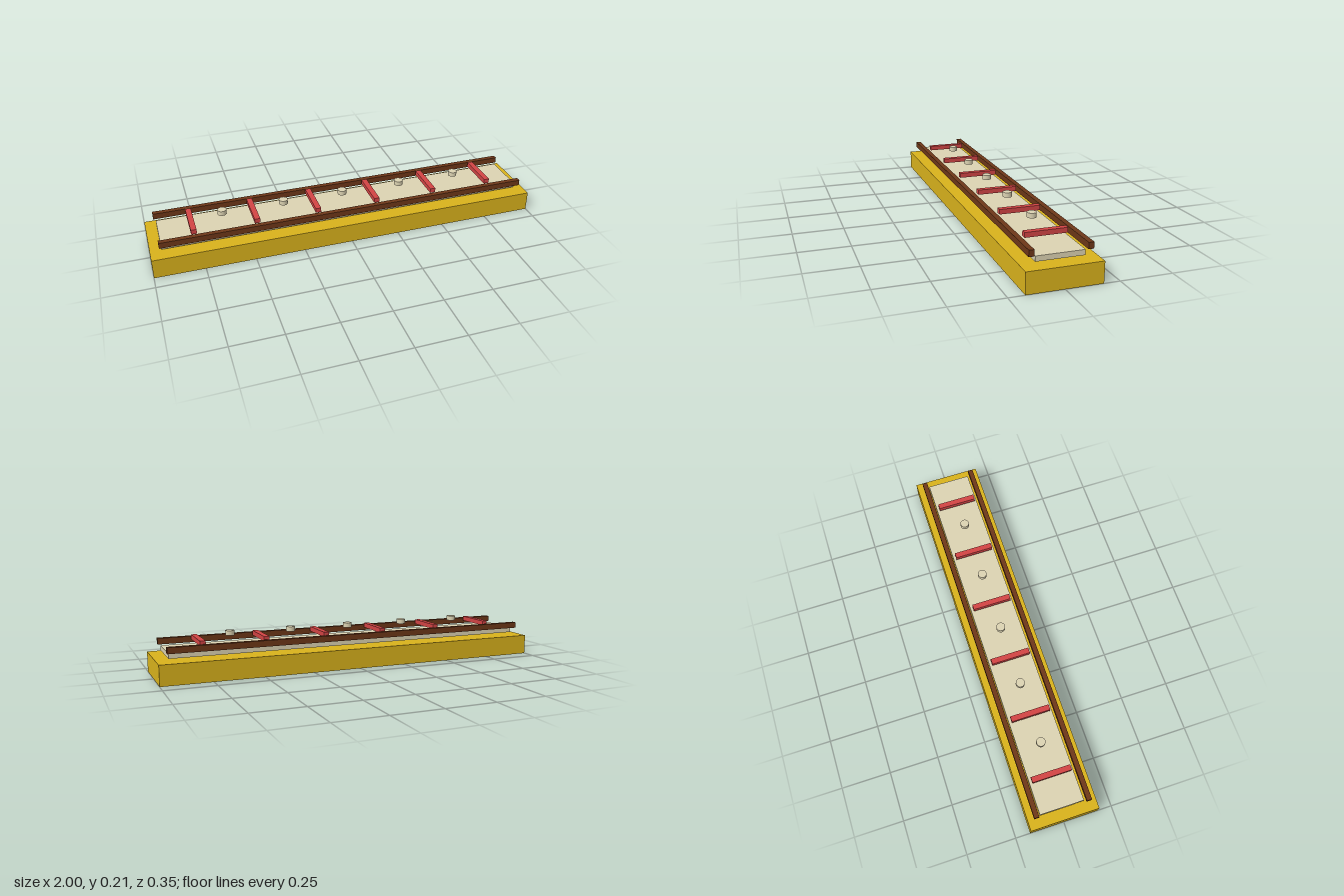
import * as THREE from 'three';

const material = (color) => new THREE.MeshStandardMaterial({ color });

export function createModel() {
  const model = new THREE.Group();
  const gold = material(0xd9b21c);
  const cream = material(0xdcd3b2);
  const brown = material(0x6e3718);
  const red = material(0xd24444);

  const add = (name, geometry, mat, x, y, z) => {
    const mesh = new THREE.Mesh(geometry, mat);
    mesh.name = name;
    mesh.position.set(x, y, z);
    model.add(mesh);
  };

  // Solid base and the thin panel floating just above it
  add('base', new THREE.BoxGeometry(2, 0.101, 0.35), gold, 0, 0.0505, 0);
  add('panel', new THREE.BoxGeometry(1.888, 0.025, 0.224), cream, 0, 0.126, 0);

  // Long rails along both sides
  const rail = new THREE.BoxGeometry(1.91, 0.03, 0.025);
  add('frontRail', rail, brown, 0, 0.157, 0.1325);
  add('backRail', rail, brown, 0, 0.157, -0.1325);

  // Cross bars, with a round stud midway between each pair
  const spacing = 0.3125;
  const bar = new THREE.BoxGeometry(0.028, 0.024, 0.2);
  const stud = new THREE.CylinderGeometry(0.0225, 0.0225, 0.024, 24);
  for (let i = 0; i < 6; i++) {
    add(`crossBar${i + 1}`, bar, red, (i - 2.5) * spacing, 0.1725, 0);
    if (i < 5) add(`stud${i + 1}`, stud, cream, (i - 2) * spacing, 0.198, 0);
  }
  return model;
}
